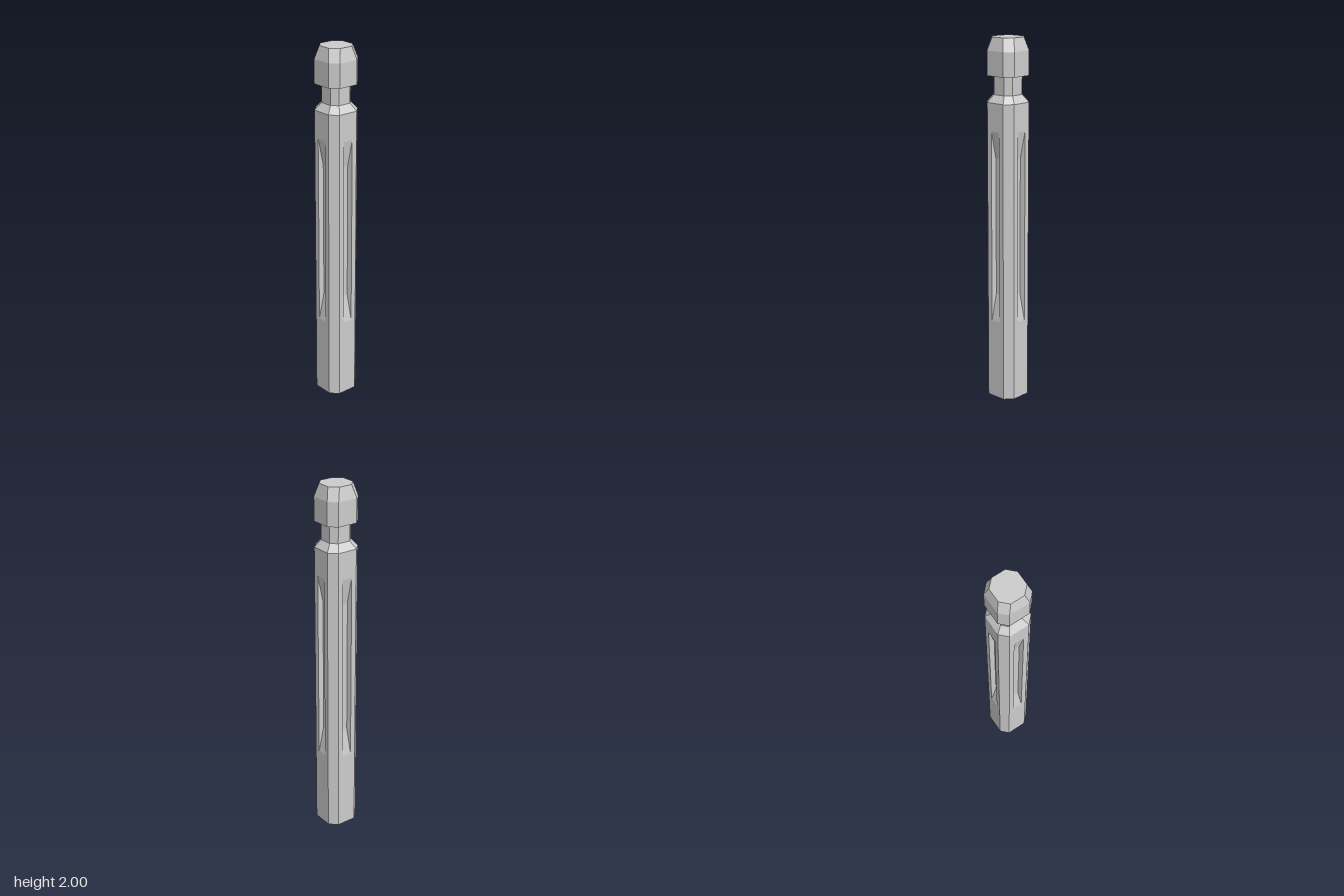
import * as THREE from 'three';

const material = new THREE.MeshStandardMaterial({
  color: 0xcccccc, flatShading: true, side: THREE.DoubleSide,
});

const SLOT = 0.028; // half width of the groove mouth

// Chamfered-square ring: half width w, half flat c, groove depth d on each flat
function ring(y, w, c, d = 0, grooved = false) {
  const inner = SLOT - d * 0.22;
  const flat = grooved
    ? [[-c, w], [-SLOT, w], [-inner, w - d], [inner, w - d], [SLOT, w], [c, w]]
    : [[-c, w], [c, w]];
  const points = [];
  for (let k = 0; k < 4; k++) {
    for (let [x, z] of flat) {
      for (let i = 0; i < k; i++) [x, z] = [z, -x];
      points.push(new THREE.Vector3(x, y, z));
    }
  }
  return points;
}

// Skin a stack of rings, optionally closing the top
function loft(name, rings, capTop = false) {
  const pos = [];
  const tri = (a, b, c) => {
    if (a.equals(b) || b.equals(c) || a.equals(c)) return;
    for (const p of [a, b, c]) pos.push(p.x, p.y, p.z);
  };
  for (let i = 0; i < rings.length - 1; i++) {
    const lo = rings[i], hi = rings[i + 1], n = lo.length;
    for (let j = 0; j < n; j++) {
      const k = (j + 1) % n;
      tri(lo[j], lo[k], hi[k]);
      tri(lo[j], hi[k], hi[j]);
    }
  }
  if (capTop) {
    const top = rings[rings.length - 1];
    for (let j = 1; j < top.length - 1; j++) tri(top[0], top[j], top[j + 1]);
  }
  const geometry = new THREE.BufferGeometry();
  geometry.setAttribute('position', new THREE.Float32BufferAttribute(pos, 3));
  geometry.computeVertexNormals();
  const mesh = new THREE.Mesh(geometry, material);
  mesh.name = name;
  return mesh;
}

export function createModel() {
  const group = new THREE.Group();
  group.name = 'bollard';

  // Open-bottomed shaft with a ramped groove in each of the four flats
  const levels = [[0, 0], [0.45, 0], [0.6, 0.028], [1.36, 0.028], [1.51, 0], [1.66, 0]];
  group.add(loft('shaft', levels.map(([y, d]) => ring(y, 0.098, 0.057, d, true))));

  // Sloped shoulder and narrow neck
  group.add(loft('shoulder', [ring(1.66, 0.098, 0.057), ring(1.7, 0.068, 0.037)]));
  group.add(loft('neck', [ring(1.7, 0.068, 0.037), ring(1.8, 0.068, 0.037)]));

  // Head with flat underside, straight band and tapered top
  group.add(loft('head', [
    ring(1.8, 0.068, 0.037),
    ring(1.8, 0.098, 0.057),
    ring(1.93, 0.098, 0.057),
    ring(2, 0.079, 0.038),
  ], true));

  return group;
}
